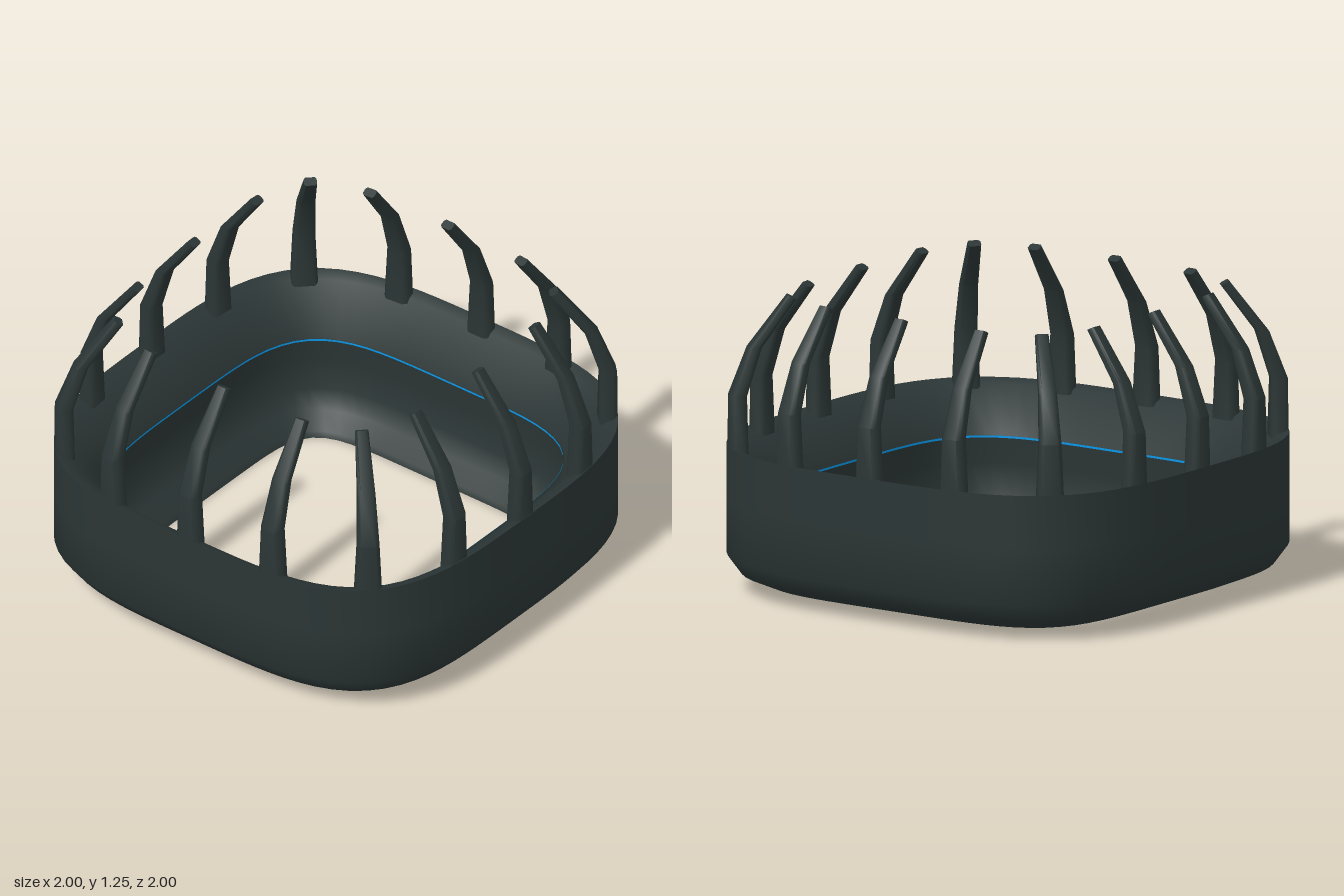
import * as THREE from 'three';
import { toCreasedNormals } from 'three/addons/utils/BufferGeometryUtils.js';

// Skin a list of rings; closed joins the last ring to the first, cap closes the top.
function loft(rings, { closed = false, cap = false } = {}) {
  const n = rings[0].length, m = rings.length, index = [];
  for (let i = 0; i < (closed ? m : m - 1); i++) {
    for (let j = 0; j < n; j++) {
      const a = i * n + j, d = i * n + (j + 1) % n;
      const b = ((i + 1) % m) * n + j, c = ((i + 1) % m) * n + (j + 1) % n;
      index.push(a, b, c, a, c, d);
    }
  }
  if (cap) {
    const t = (m - 1) * n;
    for (let j = 1; j < n - 1; j++) index.push(t, t + j + 1, t + j);
  }
  const g = new THREE.BufferGeometry();
  g.setAttribute('position', new THREE.Float32BufferAttribute(rings.flat(2), 3));
  g.setIndex(index);
  return toCreasedNormals(g, 0.82);
}

// Rounded-square outline of half width r; a higher power gives tighter corners.
function outline(r, y, power, segments = 96) {
  const pts = [];
  for (let j = 0; j < segments; j++) {
    const t = (j / segments) * Math.PI * 2, c = Math.cos(t), s = Math.sin(t);
    const k = r / Math.pow(Math.abs(c) ** power + Math.abs(s) ** power, 1 / power);
    pts.push([c * k, y, s * k]);
  }
  return pts;
}

// Tapered prong that rises, then bends inward (local -z); outer face starts at z = 0.
function prongGeometry() {
  const levels = [ // y, outer inset, thickness, width
    [0.585, 0.003, 0.075, 0.112],
    [0.83, 0.003, 0.07, 0.09],
    [1.03, 0.08, 0.055, 0.074],
    [1.245, 0.245, 0.034, 0.054],
  ];
  const rings = levels.map(([y, inset, t, w]) => {
    const h = w / 2, b = t * 0.22, drop = y > 1.2 ? 0.018 : 0;
    const corners = [
      [h, -t + b], [h, -b], [h - b, 0], [-h + b, 0],
      [-h, -b], [-h, -t + b], [-h + b, -t], [h - b, -t],
    ];
    return corners.map(([x, z]) => [x, y + (z / t) * drop, z - inset]);
  });
  return loft(rings, { cap: true });
}

export function createModel() {
  const model = new THREE.Group();
  const slate = new THREE.MeshStandardMaterial({ color: 0x2b3535 });
  slate.name = 'dark slate';
  const blue = new THREE.MeshStandardMaterial({ color: 0x0a9df0, side: THREE.DoubleSide });
  blue.name = 'bright blue';

  const add = (parent, name, geometry, material) => {
    const mesh = new THREE.Mesh(geometry, material);
    mesh.name = name;
    parent.add(mesh);
    return mesh;
  };

  // Ring body: underside, outer wall, rim, sloping inner wall, ledge, hollow floor, opening
  const profile = [ // half width, y, corner power
    [0.66, 0.0, 6.3], [0.81, 0.03, 4.6], [0.935, 0.08, 3.8], [1.0, 0.16, 3.5],
    [1.0, 0.4, 3.5], [1.0, 0.62, 3.5],
    [0.95, 0.602, 3.6], [0.78, 0.425, 4.3], [0.78, 0.412, 4.3],
    [0.8, 0.3, 4.4], [0.79, 0.16, 4.5], [0.75, 0.08, 5.0], [0.67, 0.025, 6.2],
  ];
  add(model, 'ringBody', loft(profile.map((p) => outline(...p)), { closed: true }), slate);

  // Thin coloured line around the inner ledge
  add(model, 'innerStripe', loft([outline(0.777, 0.414, 4.3), outline(0.777, 0.423, 4.3)]), blue);

  // Four prongs per side, turned around the ring
  const prong = prongGeometry();
  const bases = [ // x, z, turn
    [0, 1, 0], [0.42, 0.983, 0.1], [0.819, 0.819, Math.PI / 4], [-0.42, 0.983, -0.1],
  ];
  const prongs = new THREE.Group();
  prongs.name = 'prongs';
  for (let side = 0; side < 4; side++) {
    const group = new THREE.Group();
    group.name = 'prongSide' + (side + 1);
    group.rotation.y = side * Math.PI / 2;
    for (const [x, z, turn] of bases) {
      const mesh = add(group, 'prong', prong, slate);
      mesh.position.set(x, 0, z);
      mesh.rotation.y = turn;
    }
    prongs.add(group);
  }
  model.add(prongs);
  return model;
}
